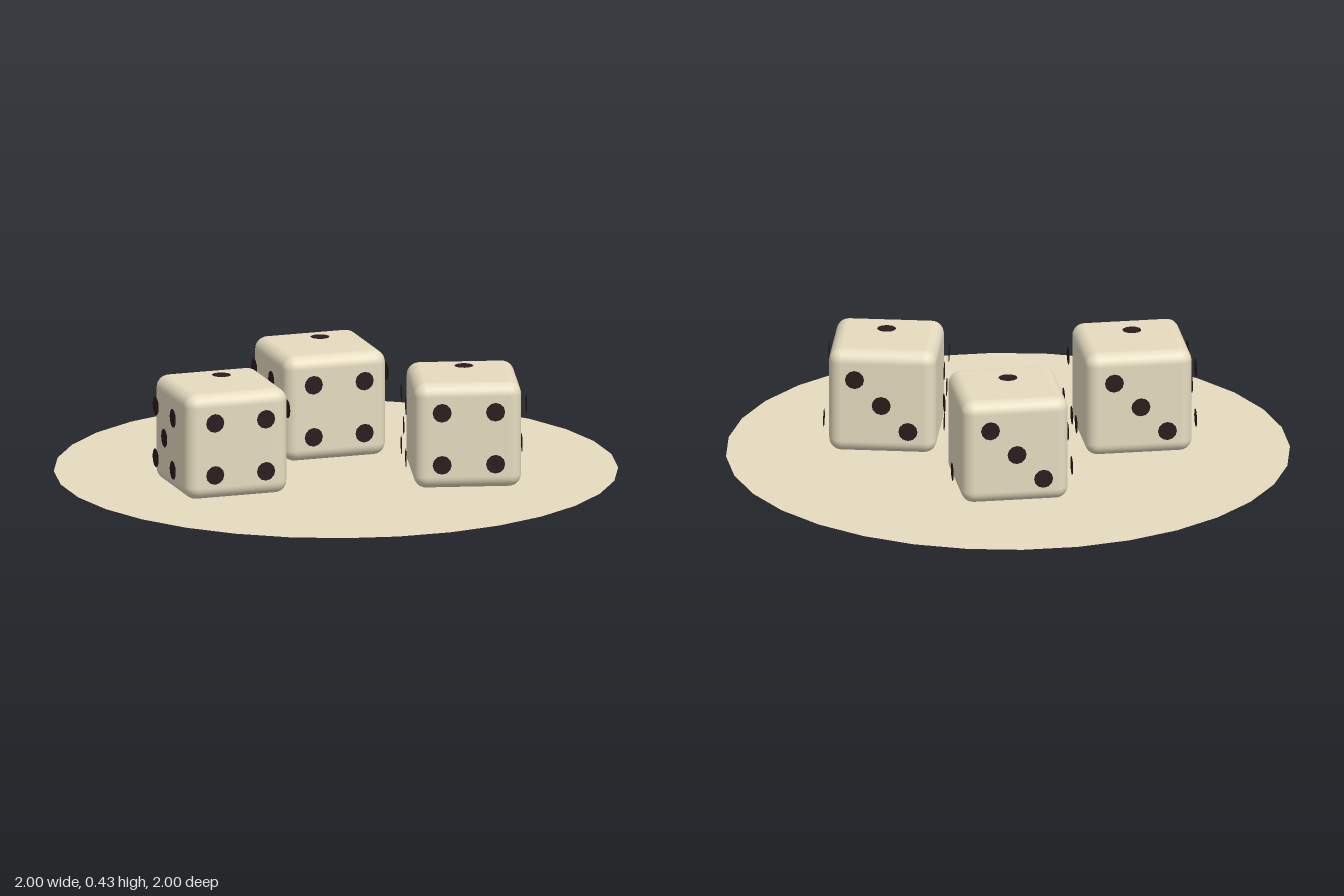
import * as THREE from 'three';
import { RoundedBoxGeometry } from 'three/addons/geometries/RoundedBoxGeometry.js';

const SIZE = 0.382;      // edge length of a die
const CENTRE_Y = 0.214;  // height of a die's centre
const PIP_STEP = 0.095;  // spacing of the pip grid
const PIP_DIST = 0.214;  // pips hover just off each face

// Pip layouts, seen facing each face
const corners = [[-1, 1], [1, 1], [-1, -1], [1, -1]];
const FACES = [
  { name: 'topPips', rot: [-Math.PI / 2, 0, 0], pips: [[0, 0]] },
  { name: 'rightPips', rot: [0, Math.PI / 2, 0], pips: [[-1, 1], [1, -1]] },
  { name: 'backPips', rot: [0, Math.PI, 0], pips: [[-1, 1], [0, 0], [1, -1]] },
  { name: 'frontPips', rot: [0, 0, 0], pips: corners },
  { name: 'leftPips', rot: [0, -Math.PI / 2, 0], pips: [...corners, [0, 0]] },
  { name: 'bottomPips', rot: [Math.PI / 2, 0, 0], pips: [...corners, [-1, 0], [1, 0]] },
];

// Centre x, z and turn of each die
const DICE = [
  { name: 'firstDie', x: -0.446, z: 0.131, turn: 0.1 },
  { name: 'secondDie', x: 0.421, z: 0.19, turn: -0.14 },
  { name: 'thirdDie', x: 0.017, z: -0.33, turn: 0.1 },
];

export function createModel() {
  const model = new THREE.Group();
  model.name = 'threeDiceOnMat';

  const ivory = new THREE.MeshStandardMaterial({ color: 0xe6dcc0, side: THREE.DoubleSide });
  ivory.name = 'ivory';
  const dark = new THREE.MeshStandardMaterial({ color: 0x2b1b1d, side: THREE.DoubleSide });
  dark.name = 'darkBrown';

  // Round flat mat, level with the underside of the dice
  const mat = new THREE.Mesh(new THREE.CircleGeometry(1, 32), ivory);
  mat.name = 'mat';
  mat.rotation.x = -Math.PI / 2;
  mat.position.y = 0.026;
  model.add(mat);

  const bodyGeometry = new RoundedBoxGeometry(SIZE, SIZE, SIZE, 4, 0.045);
  const pipGeometry = new THREE.CircleGeometry(0.034, 12);

  for (const { name, x, z, turn } of DICE) {
    const die = new THREE.Group();
    die.name = name;
    die.position.set(x, CENTRE_Y, z);
    die.rotation.y = turn;

    const body = new THREE.Mesh(bodyGeometry, ivory);
    body.name = 'dieBody';
    die.add(body);

    // Pips on all six faces
    for (const face of FACES) {
      const side = new THREE.Group();
      side.name = face.name;
      side.rotation.set(...face.rot);
      for (const [u, v] of face.pips) {
        const pip = new THREE.Mesh(pipGeometry, dark);
        pip.name = 'pip';
        pip.position.set(u * PIP_STEP, v * PIP_STEP, PIP_DIST);
        side.add(pip);
      }
      die.add(side);
    }
    model.add(die);
  }
  return model;
}
